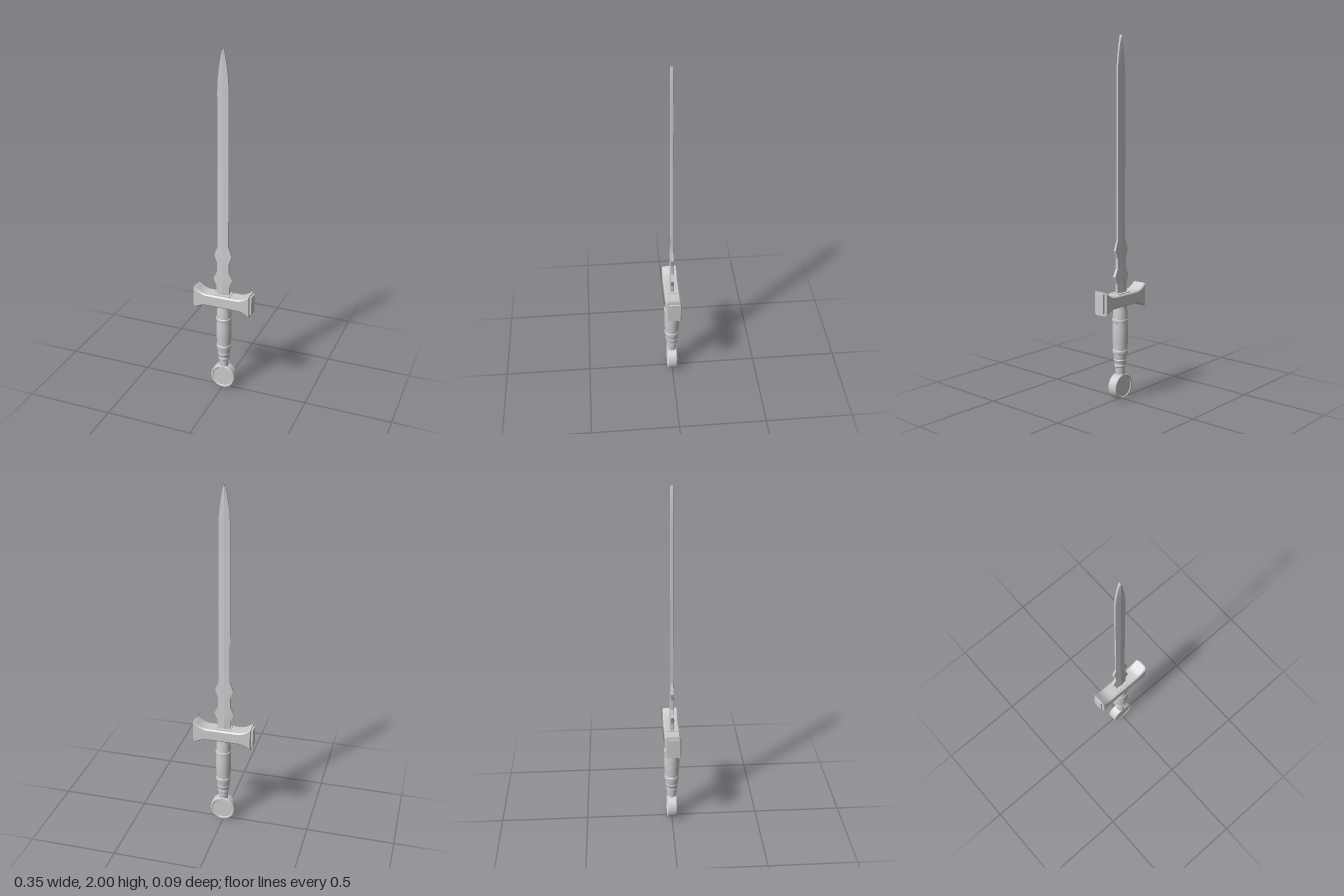
import * as THREE from 'three';
import { toCreasedNormals } from 'three/addons/utils/BufferGeometryUtils.js';

const material = new THREE.MeshStandardMaterial({ color: 0xcccccc });

function add(group, name, geometry, x = 0, y = 0, z = 0) {
  const mesh = new THREE.Mesh(geometry, material);
  mesh.name = name;
  mesh.position.set(x, y, z);
  group.add(mesh);
  return mesh;
}

// Six-sided blade section swept upward: [y, half width, edge half thickness, ridge half thickness]
function bladeGeometry(rows) {
  const pos = [], index = [];
  for (const [y, w, e, t] of rows) {
    for (const [x, z] of [[w, e], [0, t], [-w, e], [-w, -e], [0, -t], [w, -e]]) pos.push(x, y, z);
  }
  for (let r = 0; r < rows.length - 1; r++) {
    for (let i = 0; i < 6; i++) {
      const a = r * 6 + i, b = r * 6 + (i + 1) % 6;
      index.push(a, a + 6, b, b, a + 6, b + 6);
    }
  }
  const top = (rows.length - 1) * 6;
  for (let i = 1; i < 5; i++) {
    index.push(0, i, i + 1);
    index.push(top, top + i + 1, top + i);
  }
  const g = new THREE.BufferGeometry();
  g.setAttribute('position', new THREE.Float32BufferAttribute(pos, 3));
  g.setIndex(index);
  return toCreasedNormals(g, 0.12);
}

// Flared crossguard outline, centred on y = 0
function guardGeometry() {
  const bevel = 0.007;
  const s = new THREE.Shape();
  s.moveTo(-0.161, -0.057);
  s.quadraticCurveTo(-0.125, -0.031, -0.085, -0.031);
  s.lineTo(0.085, -0.031);
  s.quadraticCurveTo(0.125, -0.031, 0.161, -0.057);
  s.lineTo(0.161, 0.057);
  s.quadraticCurveTo(0.125, 0.025, 0.085, 0.025);
  s.lineTo(-0.085, 0.025);
  s.quadraticCurveTo(-0.125, 0.025, -0.161, 0.057);
  s.closePath();
  const g = new THREE.ExtrudeGeometry(s, {
    depth: 0.072, bevelEnabled: true, bevelSize: bevel, bevelThickness: bevel,
    bevelSegments: 1, curveSegments: 10,
  });
  g.translate(0, 0, -0.036);
  return toCreasedNormals(g, 0.45);
}

const lathe = (points, sides) => toCreasedNormals(
  new THREE.LatheGeometry(points.map(([r, y]) => new THREE.Vector2(r, y)), sides), 0.5);

export function createModel() {
  const sword = new THREE.Group();
  sword.name = 'sword';

  // Blade with two pairs of pointed lugs above the guard
  add(sword, 'blade', bladeGeometry([
    [0.58, 0.037, 0.008, 0.014], [0.655, 0.037, 0.008, 0.014],
    [0.7, 0.056, 0.008, 0.013], [0.742, 0.035, 0.008, 0.012],
    [0.8, 0.035, 0.008, 0.011], [0.845, 0.051, 0.007, 0.01],
    [0.9, 0.031, 0.005, 0.008], [1.78, 0.031, 0.005, 0.008],
    [1.84, 0.028, 0.005, 0.008], [1.9, 0.021, 0.005, 0.008],
    [1.95, 0.013, 0.005, 0.008], [1.98, 0.007, 0.005, 0.008],
    [2, 0.001, 0.004, 0.008],
  ]), -0.003);

  // Crossguard, its blade socket and end plates
  add(sword, 'crossguard', guardGeometry(), 0, 0.572);
  add(sword, 'bladeSocket', new THREE.BoxGeometry(0.092, 0.02, 0.058), 0, 0.598);
  for (const side of [-1, 1]) {
    add(sword, side > 0 ? 'leftEndPlate' : 'rightEndPlate',
      new THREE.BoxGeometry(0.012, 0.108, 0.056), side * 0.169, 0.574);
  }

  // Turned grip with raised bands
  add(sword, 'grip', lathe([
    [0, 0.13], [0.027, 0.13], [0.027, 0.182], [0.032, 0.186], [0.033, 0.195],
    [0.031, 0.2], [0.033, 0.215], [0.036, 0.219], [0.037, 0.226], [0.035, 0.23],
    [0.039, 0.262], [0.043, 0.265], [0.044, 0.272], [0.043, 0.282], [0.04, 0.285],
    [0.043, 0.33], [0.044, 0.37], [0.043, 0.41], [0.041, 0.44], [0.045, 0.443],
    [0.046, 0.45], [0.045, 0.458], [0.042, 0.461], [0.04, 0.505], [0.037, 0.52],
    [0.036, 0.55], [0, 0.55],
  ], 24), 0.002);

  // Collar between grip and pommel
  add(sword, 'pommelCollar', new THREE.CylinderGeometry(0.028, 0.025, 0.02, 24), 0.002, 0.152);

  // Disc pommel with a rim around a slightly sunken face
  const pommel = add(sword, 'pommel', lathe([
    [0, -0.024], [0.058, -0.024], [0.061, -0.028], [0.069, -0.028], [0.073, -0.023],
    [0.073, 0.023], [0.069, 0.028], [0.061, 0.028], [0.058, 0.024], [0, 0.024],
  ], 40), 0.002, 0.073);
  pommel.rotation.x = Math.PI / 2;

  return sword;
}
